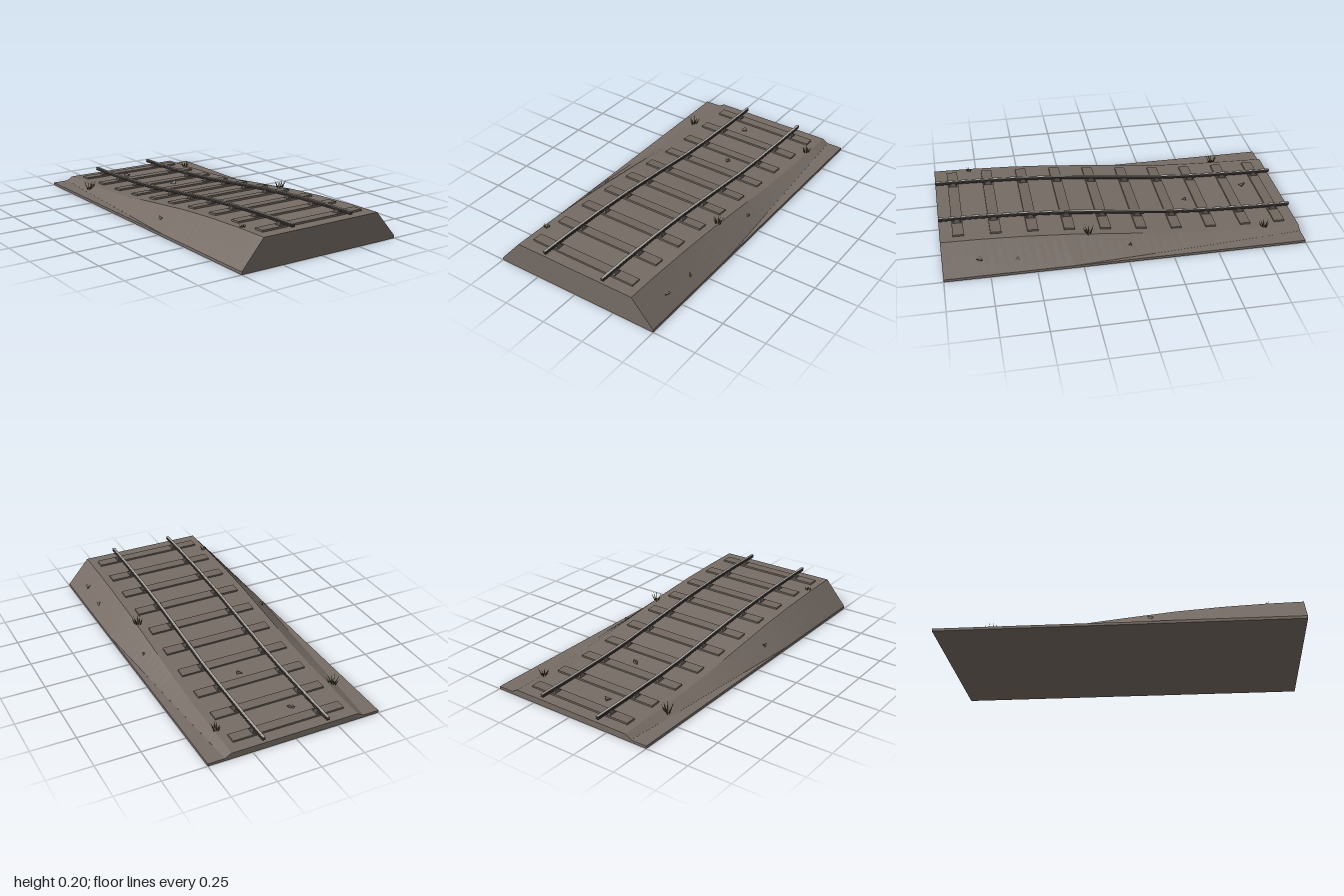
import * as THREE from 'three';

const mat = (name, color, side = THREE.FrontSide) => {
  const m = new THREE.MeshStandardMaterial({ color, side });
  m.name = name;
  return m;
};

// piecewise-linear lookup through [z, value] pairs, z descending
function lookup(table, z) {
  for (let i = 1; i < table.length; i++) {
    const [a, va] = table[i - 1], [b, vb] = table[i];
    if (z >= b) return va + (vb - va) * (a - z) / (a - b);
  }
  return table[table.length - 1][1];
}
const heights = [[1, 0.165], [0.8, 0.161], [0.55, 0.15], [0.3, 0.132], [0, 0.1],
  [-0.3, 0.066], [-0.5, 0.052], [-0.8, 0.04], [-1, 0.036]];
const feet = [[1, 0.5], [0.3, 0.5], [-0.83, 0.42], [-1, 0.405]];
const ground = z => lookup(heights, z);
const foot = z => lookup(feet, z);
const slope = z => Math.atan((ground(z + 0.05) - ground(z - 0.05)) / 0.1);

// sweep a counter-clockwise cross-section, given as a function of z, from z = -1 to 1
function loft(section, steps = 20) {
  const pos = [];
  const tri = (a, b, c) => pos.push(...a, ...b, ...c);
  const ring = z => section(z).map(([x, y]) => [x, y, z]);
  for (let s = 0; s < steps; s++) {
    const A = ring(-1 + 2 * s / steps), B = ring(-1 + 2 * (s + 1) / steps), n = A.length;
    for (let i = 0; i < n; i++) {
      const j = (i + 1) % n;
      tri(A[i], A[j], B[j]);
      tri(A[i], B[j], B[i]);
    }
  }
  const faces = THREE.ShapeUtils.triangulateShape(section(1).map(p => new THREE.Vector2(...p)), []);
  const back = THREE.ShapeUtils.triangulateShape(section(-1).map(p => new THREE.Vector2(...p)), []);
  const F = ring(1), K = ring(-1);
  faces.forEach(([a, b, c]) => tri(F[a], F[b], F[c]));
  back.forEach(([a, b, c]) => tri(K[a], K[c], K[b]));
  const g = new THREE.BufferGeometry();
  g.setAttribute('position', new THREE.Float32BufferAttribute(pos, 3));
  g.computeVertexNormals();
  return g;
}

export function createModel() {
  const model = new THREE.Group();
  const earth = mat('earth', 0x766c65);
  const wood = mat('weathered wood', 0x71675f);
  const steel = mat('dark steel', 0x46403d);
  const shine = mat('worn steel', 0xa8a49e);
  const stone = mat('stone', 0x6a625c);
  const grass = mat('grass', 0x4b4a1b, THREE.DoubleSide);
  const dry = mat('dry grass', 0x8a7c2a, THREE.DoubleSide);
  const add = (name, geo, m, x = 0, y = 0, z = 0, parent = model) => {
    const mesh = new THREE.Mesh(geo, m);
    mesh.name = name;
    mesh.position.set(x, y, z);
    parent.add(mesh);
    return mesh;
  };

  // ground slab and sloping embankment
  add('groundSlab', loft(() => [[-0.5, 0], [0.5, 0], [0.5, 0.015], [-0.5, 0.015]], 1), earth);
  add('embankment', loft(z => {
    const h = ground(z), f = foot(z);
    return [[-f, 0.014], [f, 0.014], [f, 0.0155], [0.37, h], [-0.37, h], [-f, 0.0155]];
  }, 40), earth);

  // sleepers with a chair under each rail
  const sleeperGeo = new THREE.BoxGeometry(0.65, 0.018, 0.06);
  const chairGeo = new THREE.CylinderGeometry(0.013, 0.033, 0.014, 4, 1).toNonIndexed();
  chairGeo.rotateY(Math.PI / 4);
  chairGeo.computeVertexNormals();
  for (let i = 0; i < 10; i++) {
    const z = -0.9 + 0.2 * i;
    const group = new THREE.Group();
    group.name = 'sleeperAssembly';
    group.position.set(0, ground(z), z);
    group.rotation.x = -slope(z);
    model.add(group);
    add('sleeper', sleeperGeo, wood, 0, 0.001, 0, group);
    for (const x of [-0.188, 0.188]) add('railChair', chairGeo, steel, x, 0.017, 0, group);
  }

  // rails: I-section with a bright running surface
  const half = [[0.009, 0.018], [0.009, 0.021], [0.005, 0.023], [0.005, 0.027], [0.009, 0.029], [0.009, 0.034]];
  const profile = [...half, ...half.map(([x, y]) => [-x, y]).reverse()];
  for (const cx of [-0.188, 0.188]) {
    add('rail', loft(z => profile.map(([x, y]) => [cx + x, ground(z) + y]), 40), steel);
    add('runningSurface', loft(z => [[-0.007, 0.033], [0.007, 0.033], [0.007, 0.036], [-0.007, 0.036]]
      .map(([x, y]) => [cx + x, ground(z) + y]), 40), shine);
  }

  // surface height anywhere on the bank
  const surface = (x, z) => {
    const a = Math.abs(x), f = foot(z);
    if (a <= 0.37) return ground(z);
    return a >= f ? 0.015 : ground(z) + (0.0155 - ground(z)) * (a - 0.37) / (f - 0.37);
  };

  // scattered stones
  const stoneGeo = new THREE.TetrahedronGeometry(0.024);
  [[0.44, 0.8, 1], [0.45, 0.6, 0.7], [0.42, -0.02, 0.7], [-0.435, 0.17, 0.9], [-0.085, -0.8, 1.1], [0.03, -0.42, 1]]
    .forEach(([x, z, s], i) => {
      const m = add('stone', stoneGeo, stone, x, surface(x, z), z);
      m.rotation.set(0.6 + i, i * 1.3, 0.4);
      m.scale.setScalar(s);
    });

  // tufts of leaning grass blades
  const bladeGeo = new THREE.ConeGeometry(0.005, 1, 3);
  bladeGeo.translate(0, 0.5, 0);
  const tuft = (x, y, z, height, count, m) => {
    const group = new THREE.Group();
    group.name = 'grassTuft';
    group.position.set(x, y, z);
    for (let i = 0; i < count; i++) {
      const a = i * 2.4, r = 0.004 + 0.0015 * i;
      const b = add('blade', bladeGeo, m, Math.cos(a) * r, 0, Math.sin(a) * r, group);
      b.scale.set(0.7, height * (0.65 + 0.35 * Math.abs(Math.sin(i * 1.7))), 0.7);
      b.rotation.set(0.45 * Math.sin(a), 0, -0.45 * Math.cos(a));
    }
    model.add(group);
  };
  [[-0.405, -0.7, 0.065, 9], [0.36, -0.8, 0.05, 8], [0.36, 0.2, 0.055, 9], [-0.35, 0.8, 0.025, 6]]
    .forEach(([x, z, h, n]) => tuft(x, surface(x, z) - 0.003, z, h, n, grass));
  [[-0.19, -0.9], [-0.19, 0.5], [0.19, 0.5], [0.19, -0.7]]
    .forEach(([x, z]) => tuft(x + 0.018, ground(z) + 0.008, z + 0.012, 0.012, 4, dry));
  return model;
}
